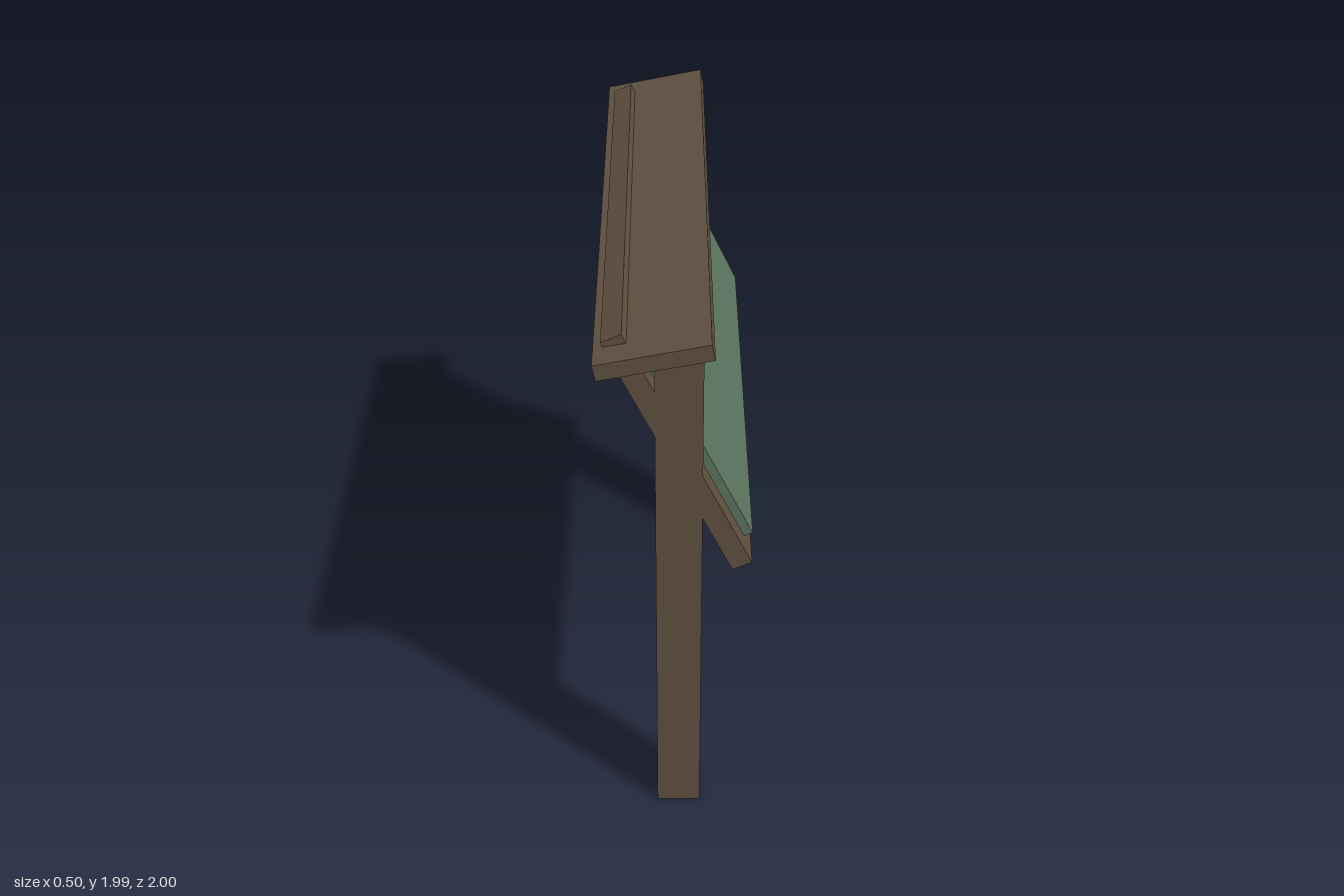
import * as THREE from 'three';

export function createModel() {
  const model = new THREE.Group();
  model.name = 'noticeBoard';
  const wood = new THREE.MeshStandardMaterial({ color: 0x5f5040 });
  wood.name = 'dark brown wood';
  const felt = new THREE.MeshStandardMaterial({ color: 0x5b745e });
  felt.name = 'muted green';

  function box(name, material, size, position, parent = model) {
    const mesh = new THREE.Mesh(new THREE.BoxGeometry(...size), material);
    mesh.name = name;
    mesh.position.set(...position);
    parent.add(mesh);
    return mesh;
  }

  // Two square posts
  for (const side of [1, -1]) {
    box(side > 0 ? 'frontPost' : 'backPost', wood, [0.15, 1.88, 0.15], [0.004, 0.94, side * 0.832]);
  }

  // Leaning board with its green display panel on the +x face
  const board = new THREE.Group();
  board.name = 'leaningBoard';
  board.position.set(0.005, 1.52, 0);
  board.rotation.z = THREE.MathUtils.degToRad(25.2);
  model.add(board);
  box('backingBoard', wood, [0.07, 0.96, 1.814], [0, 0, 0], board);
  box('displayPanel', felt, [0.03, 0.85, 1.664], [0.05, 0, 0], board);

  // Sloping roof plank
  const roof = box('roof', wood, [0.36, 0.055, 2], [-0.072, 1.927, 0]);
  roof.rotation.z = THREE.MathUtils.degToRad(11.4);

  return model;
}
